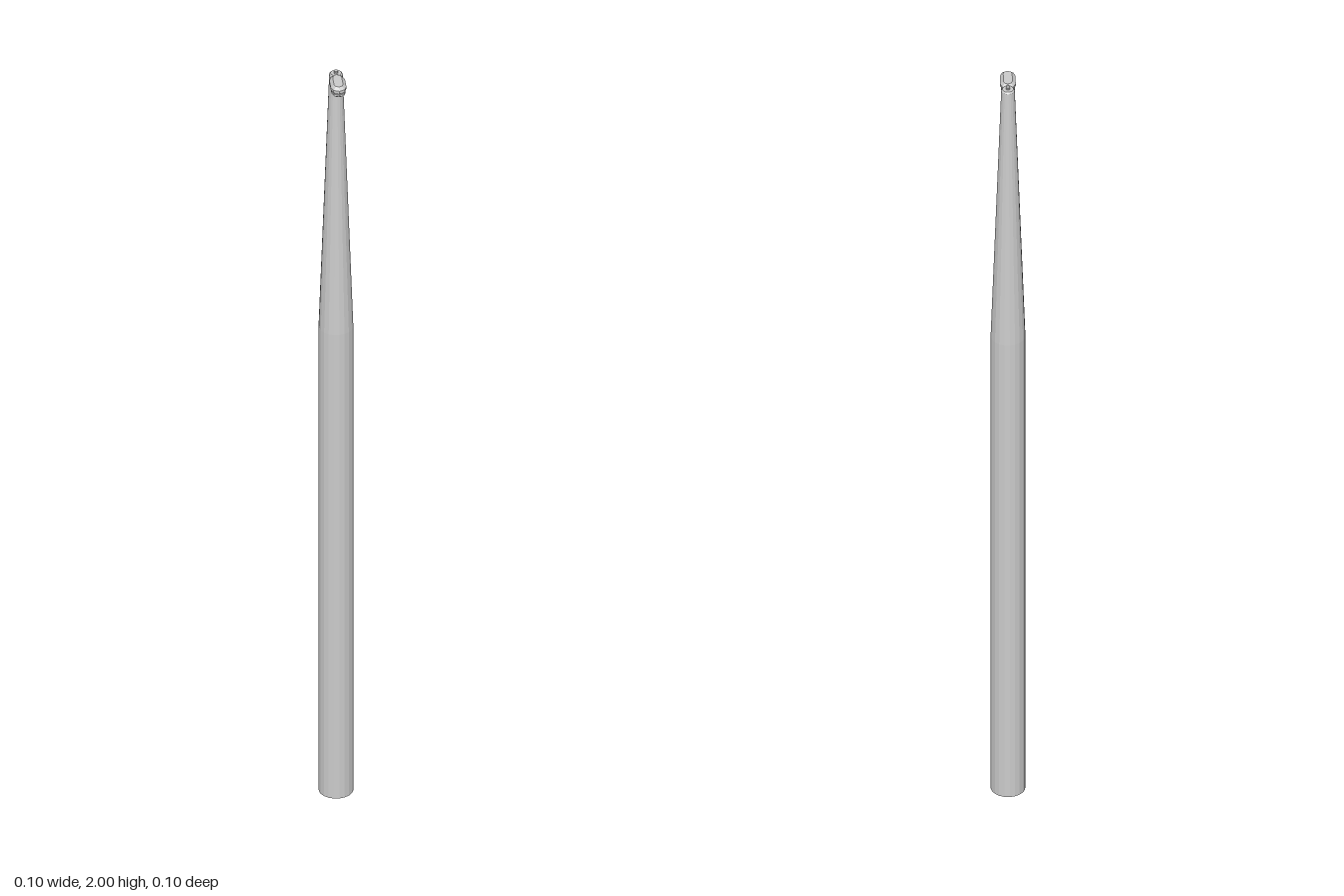
import * as THREE from 'three';

const material = new THREE.MeshStandardMaterial({ color: 0xcccccc, flatShading: true });

function add(parent, geometry, name, x = 0, y = 0, z = 0) {
  const mesh = new THREE.Mesh(geometry, material);
  mesh.name = name;
  mesh.position.set(x, y, z);
  parent.add(mesh);
  return mesh;
}

// Elongated outline with faceted round ends, running along x, shrunk by inset
function outline(start, end, halfWidth, inset) {
  const r = halfWidth - inset, points = [];
  for (const [centre, turn] of [[end - halfWidth, -Math.PI / 2], [start + halfWidth, Math.PI / 2]]) {
    for (let i = 0; i <= 4; i++) {
      const a = turn + (i / 4) * Math.PI;
      points.push([centre + r * Math.cos(a), r * Math.sin(a)]);
    }
  }
  return points;
}

// Closed solid through a stack of [height, inset] outlines, bottom to top
function stackedShell(start, end, halfWidth, layers) {
  const positions = [], index = [];
  for (const [y, inset] of layers)
    for (const [x, z] of outline(start, end, halfWidth, inset)) positions.push(x, y, z);
  const n = 10, last = (layers.length - 1) * n;
  for (let k = 0; k < layers.length - 1; k++)
    for (let i = 0; i < n; i++) {
      const a = k * n + i, b = k * n + (i + 1) % n;
      index.push(a, a + n, b, b, a + n, b + n);
    }
  for (let i = 1; i < n - 1; i++) {
    index.push(0, i, i + 1);
    index.push(last, last + i + 1, last + i);
  }
  const geometry = new THREE.BufferGeometry();
  geometry.setAttribute('position', new THREE.Float32BufferAttribute(positions, 3));
  geometry.setIndex(index);
  geometry.computeVertexNormals();
  return geometry;
}

export function createModel() {
  const model = new THREE.Group();
  model.name = 'lampPost';

  // Everything is placed around the axis of the post
  const post = new THREE.Group();
  post.name = 'post';
  post.position.set(-0.011, 0, -0.008);
  model.add(post);

  // Straight lower shaft and tapered upper shaft
  add(post, new THREE.CylinderGeometry(0.041, 0.041, 1.29, 20), 'lowerShaft', 0, 0.645, 0);
  add(post, new THREE.CylinderGeometry(0.016, 0.041, 0.7, 20, 1, true), 'upperShaft', 0, 1.64, 0);
  add(post, new THREE.CylinderGeometry(0.013, 0.016, 0.004, 20), 'topCap', 0, 1.992, 0);

  // Lamp head, turned diagonally towards the front left
  const head = new THREE.Group();
  head.name = 'lampHead';
  head.rotation.y = -0.72;
  post.add(head);

  add(head, new THREE.CylinderGeometry(0.005, 0.005, 0.014, 10), 'armPin', 0, 1.993, 0);
  const arm = add(head, new THREE.CylinderGeometry(0.004, 0.004, 0.024, 8), 'arm', 0.012, 1.993, 0);
  arm.rotation.z = Math.PI / 2;

  add(head, stackedShell(0.007, 0.076, 0.0185,
    [[1.982, 0.002], [1.985, 0], [1.991, 0], [1.998, 0.008]]), 'lampCover');
  add(head, stackedShell(0.007, 0.076, 0.0185,
    [[1.979, 0.005], [1.982, 0.005]]), 'lampSeam');
  add(head, stackedShell(0.007, 0.076, 0.0185,
    [[1.970, 0.007], [1.974, 0.002], [1.979, 0.002]]), 'lampLens');

  return model;
}
